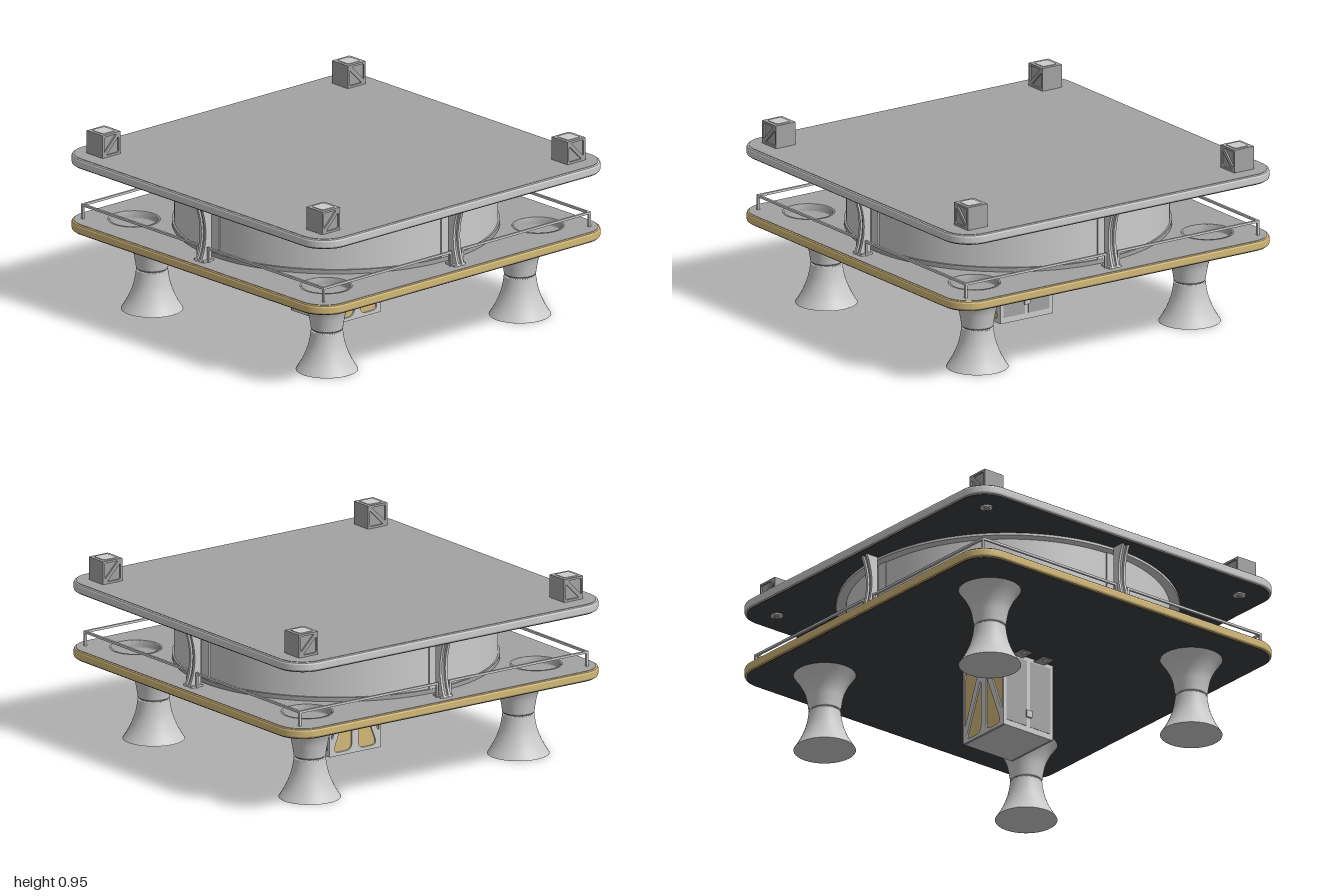
import * as THREE from 'three';

const mat = (name, color, side = THREE.FrontSide) => {
  const m = new THREE.MeshStandardMaterial({ color, side });
  m.name = name;
  return m;
};

// Rounded polygon path through a few corner points
function roundPoly(points, r, target = new THREE.Shape()) {
  const n = points.length;
  const v = points.map(([x, y]) => new THREE.Vector2(x, y));
  for (let i = 0; i < n; i++) {
    const p = v[i], prev = v[(i + n - 1) % n], next = v[(i + 1) % n];
    const a = p.clone().add(prev.clone().sub(p).setLength(r));
    const b = p.clone().add(next.clone().sub(p).setLength(r));
    if (i === 0) target.moveTo(a.x, a.y); else target.lineTo(a.x, a.y);
    target.quadraticCurveTo(p.x, p.y, b.x, b.y);
  }
  target.closePath();
  return target;
}

const rectPoints = (x0, y0, x1, y1) => [[x0, y0], [x1, y0], [x1, y1], [x0, y1]];

// Square with true circular corners
function roundSquare(h, r) {
  const s = new THREE.Shape(), c = h - r;
  [[c, c], [-c, c], [-c, -c], [c, -c]].forEach(([x, y], i) =>
    s.absarc(x, y, r, i * Math.PI / 2, (i + 1) * Math.PI / 2, false));
  s.closePath();
  return s;
}

export function createModel() {
  const model = new THREE.Group();
  const light = mat('lightGray', 0xcccccc, THREE.DoubleSide);
  const gray = mat('midGray', 0xa2a2a2, THREE.DoubleSide);
  const dark = mat('darkUnderside', 0x3c3d40);
  const tan = mat('plywoodTan', 0xd2b878);

  const add = (name, geo, material, x = 0, y = 0, z = 0, parent = model) => {
    const m = new THREE.Mesh(geo, material);
    m.name = name;
    m.position.set(x, y, z);
    parent.add(m);
    return m;
  };
  const box = (name, w, h, d, material, x, y, z, parent) =>
    add(name, new THREE.BoxGeometry(w, h, d), material, x, y, z, parent);
  const cyl = (name, r, h, material, x, y, z, parent, seg = 24) =>
    add(name, new THREE.CylinderGeometry(r, r, h, seg), material, x, y, z, parent);
  const extrude = (shape, depth, bevel = 0) => new THREE.ExtrudeGeometry(shape, {
    depth: depth - 2 * bevel, curveSegments: 10, bevelEnabled: bevel > 0,
    bevelSize: bevel, bevelThickness: bevel, bevelOffset: -bevel, bevelSegments: 2,
  }).translate(0, 0, bevel);
  const flat = (shape, depth, bevel) => extrude(shape, depth, bevel).rotateX(-Math.PI / 2);

  const corners = [[1, 1], [1, -1], [-1, 1], [-1, -1]];
  const cupAt = 0.73, cupR = 0.125;
  const withCups = (shape, r) => {
    for (const [sx, sz] of corners) {
      shape.holes.push(new THREE.Path().absarc(sx * cupAt, sz * cupAt, r, 0, Math.PI * 2, true));
    }
    return shape;
  };

  // Lower deck: plywood edge, gray surface, dark underside
  add('deckBody', flat(withCups(roundSquare(1, 0.15), cupR), 0.051, 0.012), tan, 0, 0.422, 0);
  add('deckSurface', flat(withCups(roundSquare(0.989, 0.14), cupR), 0.003), gray, 0, 0.472, 0);
  add('deckUnderside', flat(roundSquare(0.989, 0.14), 0.003), dark, 0, 0.42, 0);
  const cupProfile = [[0, -0.035], [cupR - 0.01, -0.035], [cupR - 0.002, -0.028], [cupR - 0.002, 0.002],
    [cupR + 0.01, 0.002]].map(p => new THREE.Vector2(...p));
  for (const [sx, sz] of corners) {
    add('cupRecess', new THREE.LatheGeometry(cupProfile, 32), gray, sx * cupAt, 0.475, sz * cupAt);
  }

  // Upper top
  add('tabletopBody', flat(roundSquare(1, 0.15), 0.051, 0.012), light, 0, 0.777, 0);
  add('tabletopSurface', flat(roundSquare(0.989, 0.14), 0.003), gray, 0, 0.827, 0);
  add('tabletopUnderside', flat(roundSquare(0.989, 0.14), 0.003), dark, 0, 0.775, 0);

  // Central drum
  cyl('drum', 0.828, 0.3, light, 0, 0.625, 0, model, 96);
  cyl('drumBaseRing', 0.838, 0.022, gray, 0, 0.486, 0, model, 96);
  cyl('drumTopFlange', 0.878, 0.013, light, 0, 0.767, 0, model, 96);

  // Waisted columns in the middle of each side
  const columnShape = inset => {
    const s = new THREE.Shape();
    s.moveTo(0.88, 0.475);
    s.lineTo(0.95 - inset, 0.475);
    s.quadraticCurveTo(0.885 - inset, 0.625, 0.95 - inset, 0.775);
    s.lineTo(0.88, 0.775);
    s.closePath();
    return s;
  };
  for (let i = 0; i < 4; i++) {
    const column = new THREE.Group();
    column.name = 'sideColumn';
    for (const z of [-0.024, 0.01]) add('columnPlate', extrude(columnShape(0), 0.014), light, 0, 0, z, column);
    add('columnWeb', extrude(columnShape(0.012), 0.02), gray, 0, 0, -0.01, column);
    box('columnFoot', 0.07, 0.01, 0.075, light, 0.91, 0.48, 0, column);
    box('drumPilaster', 0.014, 0.28, 0.06, light, 0.828, 0.625, 0, column);
    column.rotation.y = i * Math.PI / 2;
    model.add(column);
  }

  // Corner railings: a bent rail with three posts each
  for (const [sx, sz] of corners) {
    const rail = new THREE.Group();
    rail.name = 'cornerRailing';
    const e = 0.915, n = 0.04, mid = (e + n) / 2, t = 0.012;
    box('railAcross', e - n + t, t, t, light, sx * mid, 0.549, sz * e, rail);
    box('railAlong', t, t, e - n + t, light, sx * e, 0.549, sz * mid, rail);
    for (const [x, z] of [[e, e], [n, e], [e, n]]) {
      box('railPost', t, 0.08, t, light, sx * x, 0.514, sz * z, rail);
    }
    model.add(rail);
  }

  // Spool-shaped legs with a narrow groove at the waist
  const lower = new THREE.SplineCurve([[0.16, 0], [0.127, 0.055], [0.1, 0.12], [0.087, 0.175], [0.082, 0.213]]
    .map(p => new THREE.Vector2(...p))).getPoints(16);
  const upper = new THREE.SplineCurve([[0.082, 0.219], [0.088, 0.26], [0.1, 0.315], [0.126, 0.37], [0.16, 0.42]]
    .map(p => new THREE.Vector2(...p))).getPoints(16);
  for (const [sx, sz] of corners) {
    const leg = new THREE.Group();
    leg.name = 'leg';
    leg.position.set(sx * 0.665, 0, sz * 0.665);
    add('legLower', new THREE.LatheGeometry([new THREE.Vector2(0, 0.213), ...lower.slice().reverse()].reverse(), 40), light, 0, 0, 0, leg);
    add('legUpper', new THREE.LatheGeometry([new THREE.Vector2(0, 0.219), ...upper], 40), light, 0, 0, 0, leg);
    cyl('legGroove', 0.076, 0.01, gray, 0, 0.216, 0, leg, 40);
    add('legSole', new THREE.CircleGeometry(0.16, 40).rotateX(Math.PI / 2), light, 0, 0.0005, 0, leg);
    model.add(leg);
  }

  // Central cabinet
  const cabinet = new THREE.Group();
  cabinet.name = 'cabinet';
  model.add(cabinet);
  box('cabinetBody', 0.304, 0.42, 0.326, light, 0, 0.21, 0, cabinet);
  for (const s of [1, -1]) {
    const truss = roundPoly(rectPoints(-0.163, 0, 0.163, 0.42), 0.002);
    for (const m of [1, -1]) {
      truss.holes.push(roundPoly([[-0.152 * m, 0.403], [-0.027 * m, 0.403], [-0.152 * m, 0.075]], 0.04, new THREE.Path()));
      truss.holes.push(roundPoly([[-0.02 * m, 0.325], [-0.142 * m, 0.018], [-0.02 * m, 0.018]], 0.04, new THREE.Path()));
    }
    add('cabinetTruss', extrude(truss, 0.009), light, s * 0.154, 0, 0, cabinet).rotation.y = s * Math.PI / 2;
    box('cabinetSidePanel', 0.004, 0.41, 0.316, tan, s * 0.1525, 0.21, 0, cabinet);
    for (const m of [1, -1]) {
      box('doorPanel', 0.134, 0.368, 0.004, gray, m * 0.077, 0.215, s * 0.163, cabinet);
      box('mountBracket', 0.07, 0.005, 0.08, gray, m * 0.07, 0.409, s * 0.2, cabinet);
      cyl('bracketScrew', 0.014, 0.008, light, m * 0.07, 0.405, s * 0.215, cabinet, 12);
    }
    box('doorHandle', 0.034, 0.038, 0.012, light, 0, 0.1, s * 0.169, cabinet);
  }

  // Corner blocks on top, with braced sides, and fixing screws beneath
  for (const [sx, sz] of corners) {
    const block = new THREE.Group();
    block.name = 'cornerBlock';
    block.position.set(sx * 0.835, 0.83, sz * 0.845);
    box('blockCore', 0.104, 0.122, 0.122, gray, 0, 0.061, 0, block);
    add('blockCap', flat(roundPoly(rectPoints(-0.043, -0.043, 0.043, 0.043), 0.014), 0.003), light, 0, 0.122, 0, block);
    for (const s of [1, -1]) {
      const m = s * sz;
      const brace = roundPoly(rectPoints(-0.061, 0, 0.061, 0.122), 0.002);
      brace.holes.push(roundPoly([[-0.05 * m, 0.111], [0.036 * m, 0.111], [-0.05 * m, 0.025]], 0.012, new THREE.Path()));
      brace.holes.push(roundPoly([[0.05 * m, 0.011], [-0.036 * m, 0.011], [0.05 * m, 0.097]], 0.012, new THREE.Path()));
      add('blockBrace', extrude(brace, 0.009), gray, s * 0.052, 0, 0, block).rotation.y = s * Math.PI / 2;
    }
    cyl('fixingWasher', 0.032, 0.008, light, 0, -0.058, 0, block);
    cyl('fixingScrew', 0.016, 0.012, gray, 0, -0.062, 0, block, 6);
    model.add(block);
  }

  return model;
}
